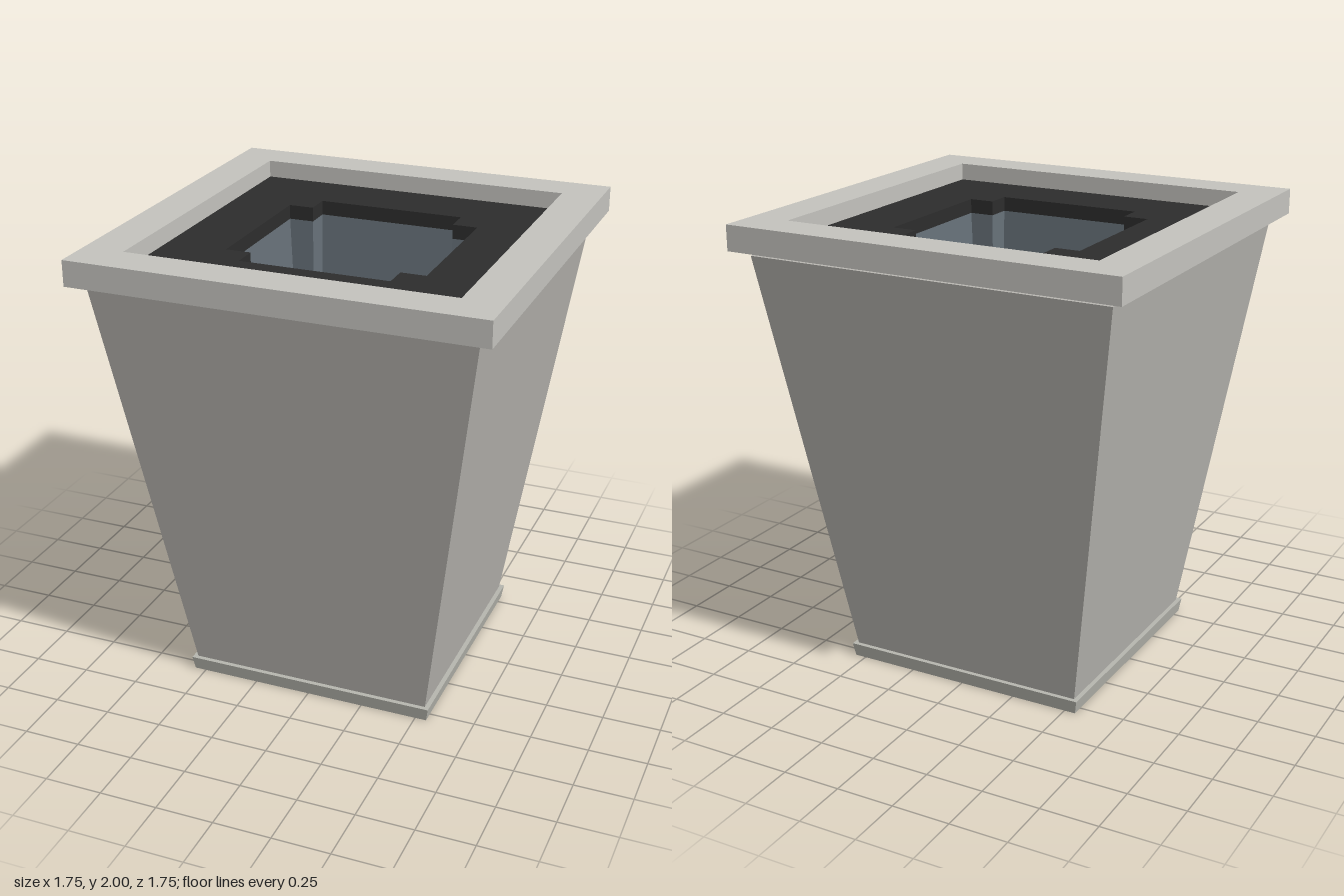
import * as THREE from 'three';

const material = (name, color, extra = {}) => {
  const m = new THREE.MeshStandardMaterial({ color, ...extra });
  m.name = name;
  return m;
};

// Square solid: a four-sided lathe from [half width, y] pairs, bottom to top
function squareLathe(profile) {
  const points = profile.map(([half, y]) => new THREE.Vector2(half * Math.SQRT2, y));
  const geometry = new THREE.LatheGeometry(points, 4).rotateY(Math.PI / 4).toNonIndexed();
  geometry.computeVertexNormals();
  return geometry;
}

// Square outline with notched corners: arms reach "arm", notches start at "notch"
function notchedOutline(arm, notch) {
  const points = [];
  for (const [sx, sy] of [[1, 1], [-1, 1], [-1, -1], [1, -1]]) {
    const corner = [[arm, notch], [notch, notch], [notch, arm]];
    if (sx * sy < 0) corner.reverse();
    for (const [x, y] of corner) points.push(new THREE.Vector2(x * sx, y * sy));
  }
  return points;
}

// Inward-facing walls between two outlines
function innerWalls(bottom, yBottom, top, yTop) {
  const positions = [];
  const n = top.length;
  for (let i = 0; i < n; i++) {
    const j = (i + 1) % n;
    const a = [bottom[i].x, yBottom, bottom[i].y], b = [bottom[j].x, yBottom, bottom[j].y];
    const c = [top[j].x, yTop, top[j].y], d = [top[i].x, yTop, top[i].y];
    positions.push(...a, ...b, ...c, ...a, ...c, ...d);
  }
  const geometry = new THREE.BufferGeometry();
  geometry.setAttribute('position', new THREE.Float32BufferAttribute(positions, 3));
  geometry.computeVertexNormals();
  return geometry;
}

export function createModel() {
  const group = new THREE.Group();
  group.name = 'squarePlanter';

  const bodyGray = material('body gray', 0xb8b6b1);
  const rimGray = material('rim gray', 0xc4c3be);
  const baseGray = material('base gray', 0xb6b6ae);
  const black = material('insert black', 0x2d2d2d);
  const slate = material('liner slate', 0x68727a, { side: THREE.DoubleSide });

  const add = (name, geometry, mat) => {
    const mesh = new THREE.Mesh(geometry, mat);
    mesh.name = name;
    group.add(mesh);
  };

  // Base plinth, flaring slightly upward
  add('base', squareLathe([[0, 0], [0.55, 0], [0.56, 0.06], [0.5, 0.06]]), baseGray);

  // Tapered body with a flat top edge
  add('body', squareLathe([[0.54, 0.06], [0.81, 1.865], [0.66, 1.865]]), bodyGray);

  // Overhanging square rim
  add('rim', squareLathe([[0.7, 1.89], [0.875, 1.89], [0.875, 2], [0.7, 2], [0.7, 1.89]]), rimGray);

  // Sunken black plate with a notched opening
  const plate = new THREE.Shape(
    [[-1, -1], [1, -1], [1, 1], [-1, 1]].map(([x, y]) => new THREE.Vector2(x * 0.699, y * 0.699)));
  plate.holes.push(new THREE.Path(notchedOutline(0.435, 0.325)));
  const plateGeometry = new THREE.ExtrudeGeometry(plate, { depth: 0.063, bevelEnabled: false });
  add('topPlate', plateGeometry.rotateX(-Math.PI / 2).translate(0, 1.862, 0), black);

  // Tapered liner below the opening, with its floor
  const floorY = 0.2;
  const floorOutline = notchedOutline(0.365, 0.318);
  add('liner', innerWalls(floorOutline, floorY, notchedOutline(0.435, 0.325), 1.862), slate);
  const floor = new THREE.ShapeGeometry(new THREE.Shape(floorOutline));
  add('linerFloor', floor.rotateX(-Math.PI / 2).translate(0, floorY, 0), black);

  return group;
}
